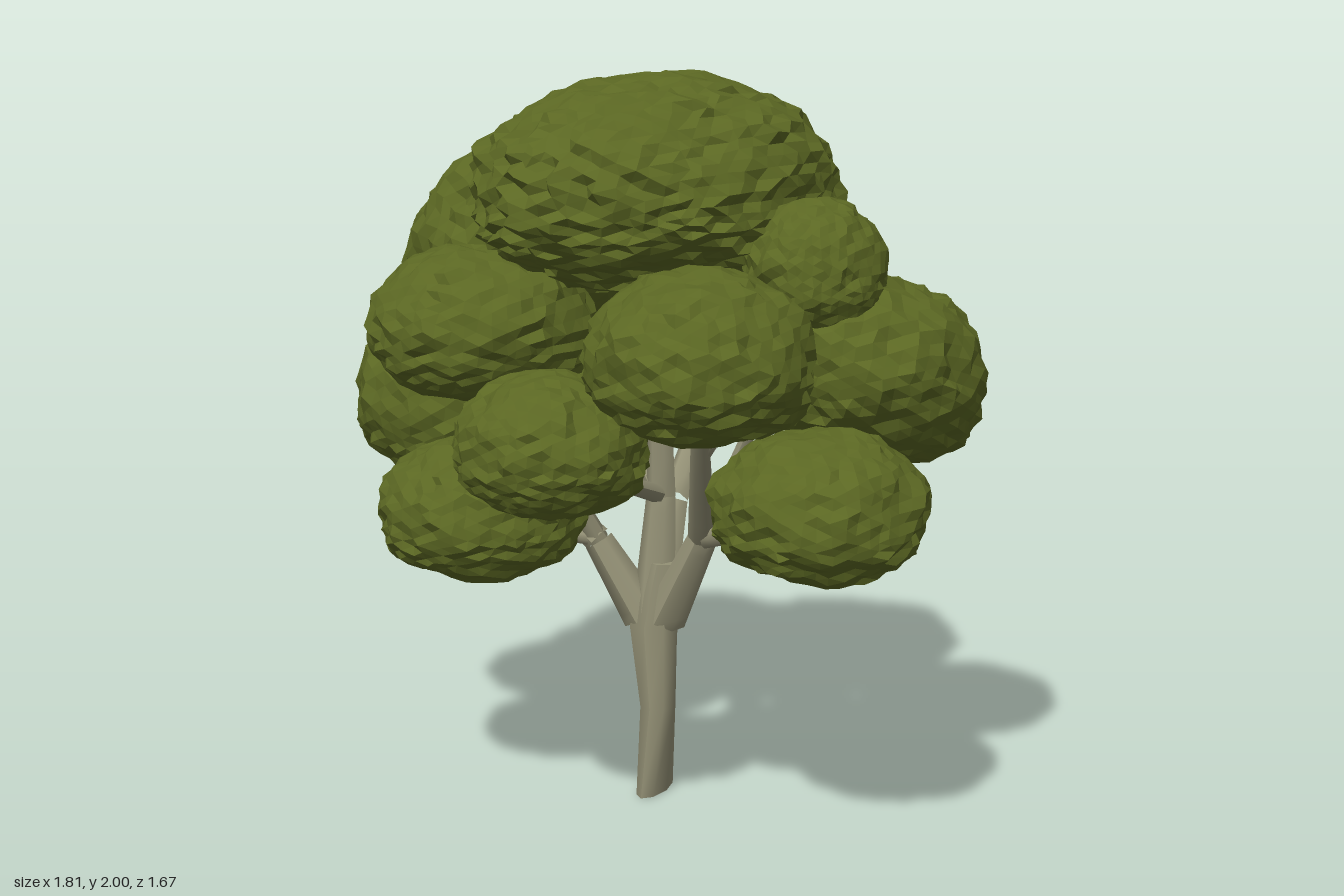
import * as THREE from 'three';
import { mergeVertices } from 'three/addons/utils/BufferGeometryUtils.js';

const leafGreen = new THREE.MeshStandardMaterial({ color: 0x5b6723, flatShading: true });
leafGreen.name = 'leafGreen';
const barkGrey = new THREE.MeshStandardMaterial({ color: 0x949176 });
barkGrey.name = 'barkGrey';

// Small seeded random generator
function seeded(seed) {
  let s = seed * 7919 + 17;
  return () => {
    s = (s * 16807) % 2147483647;
    return s / 2147483647;
  };
}

// Leafy clump: a domed, flat-bottomed sphere roughened by broad bumps and fine jitter
function leafClump(name, centre, [rx, ry, rz = rx], seed) {
  const rand = seeded(seed);
  let geo = new THREE.IcosahedronGeometry(1, rx > 0.4 ? 12 : 8);
  geo.deleteAttribute('normal');
  geo.deleteAttribute('uv');
  geo = mergeVertices(geo, 1e-3);
  const pos = geo.attributes.position;
  const p = new THREE.Vector3();
  for (let i = 0; i < pos.count; i++) {
    p.fromBufferAttribute(pos, i);
    const bumps = Math.sin(p.x * 5 + seed) * Math.sin(p.y * 5 + seed * 2) * Math.sin(p.z * 5 + seed * 3);
    const shoulder = 1 + 0.12 * (1 - Math.abs(p.y)) * Math.abs(p.y);
    const dome = p.y > 0 ? 1.13 : 0.87;
    p.multiplyScalar(shoulder * (0.985 + 0.05 * bumps + (rand() - 0.5) * 0.06));
    p.x += (rand() - 0.5) * 0.05;
    p.z += (rand() - 0.5) * 0.05;
    pos.setXYZ(i, p.x * rx, (p.y * dome - 0.13) * ry, p.z * rz);
  }
  geo = geo.toNonIndexed();
  geo.computeVertexNormals();
  const mesh = new THREE.Mesh(geo, leafGreen);
  mesh.name = name;
  mesh.position.copy(centre);
  return mesh;
}

// Branch: a tube through the points, tapering from girth to tip
function branch(name, points, girth, tip) {
  const rings = 8;
  const sides = 7;
  const curve = new THREE.CatmullRomCurve3(points);
  const geo = new THREE.TubeGeometry(curve, rings, 1, sides, false);
  const pos = geo.attributes.position;
  const v = new THREE.Vector3();
  for (let i = 0; i < pos.count; i++) {
    const t = Math.floor(i / (sides + 1)) / rings;
    const centre = curve.getPointAt(t);
    v.fromBufferAttribute(pos, i).sub(centre);
    v.multiplyScalar(THREE.MathUtils.lerp(girth, tip, t)).add(centre);
    pos.setXYZ(i, v.x, v.y, v.z);
  }
  geo.computeVertexNormals();
  const mesh = new THREE.Mesh(geo, barkGrey);
  mesh.name = name;
  return mesh;
}

// Trunk: narrow from side to side, flared front to back at the foot
function trunk() {
  // y, centre x, centre z, half width, half depth
  const rows = [
    [0, 0.01, 0.015, 0.037, 0.09],
    [0.25, 0.02, 0.015, 0.05, 0.056],
    [0.48, 0.003, 0.008, 0.073, 0.063],
    [0.66, 0.03, -0.02, 0.052, 0.065],
  ];
  const geo = new THREE.CylinderGeometry(1, 1, 1, 8, rows.length - 1);
  const pos = geo.attributes.position;
  for (let i = 0; i < pos.count; i++) {
    const [y, cx, cz, w, d] = rows[Math.round((pos.getY(i) + 0.5) * (rows.length - 1))];
    pos.setXYZ(i, cx + pos.getX(i) * w, y, cz + pos.getZ(i) * d);
  }
  geo.computeVertexNormals();
  const mesh = new THREE.Mesh(geo, barkGrey);
  mesh.name = 'trunk';
  return mesh;
}

export function createModel() {
  const tree = new THREE.Group();
  tree.name = 'tree';
  const wood = new THREE.Group();
  wood.name = 'wood';
  wood.add(trunk());
  const foliage = new THREE.Group();
  foliage.name = 'foliage';
  tree.add(wood, foliage);

  // Four leaders rise from the trunk to the crotches where the boughs part
  const crotches = {
    centre: new THREE.Vector3(0.01, 0.84, -0.03),
    left: new THREE.Vector3(0.16, 0.75, 0.03),
    right: new THREE.Vector3(-0.15, 0.71, 0.04),
    back: new THREE.Vector3(0, 0.8, -0.13),
  };
  for (const [name, crotch] of Object.entries(crotches)) {
    const root = new THREE.Vector3(crotch.x * 0.2, 0.5, 0);
    const middle = root.clone().lerp(crotch, 0.5);
    wood.add(branch(name + 'Leader', [root, middle, crotch], 0.062, 0.042));
  }

  // Each limb: name, clump centre, clump radii, crotch it grows from, girth
  const limbs = [
    ['crown', [0.01, 1.71, 0.01], [0.44, 0.285, 0.535], 'centre', 0.042],
    ['rightTop', [-0.47, 1.5, -0.18], [0.36, 0.285, 0.34], 'centre', 0.035],
    ['leftTop', [0.5, 1.52, 0.09], [0.185, 0.18, 0.19], 'left', 0.025],
    ['leftFront', [0.35, 1.345, 0.48], [0.29, 0.22], 'left', 0.04],
    ['left', [0.6, 1.23, -0.08], [0.295, 0.25, 0.33], 'left', 0.03],
    ['leftLow', [0.6, 0.95, 0.29], [0.28, 0.195], 'left', 0.035],
    ['front', [-0.01, 1.11, 0.59], [0.25, 0.185, 0.235], 'centre', 0.028],
    ['rightFront', [-0.36, 1.35, 0.31], [0.3, 0.21], 'right', 0.03],
    ['rightLow', [-0.39, 0.835, 0.27], [0.28, 0.195], 'right', 0.02],
    ['right', [-0.61, 1.085, 0.02], [0.285, 0.26, 0.25], 'right', 0.04],
    ['rightBack', [-0.56, 0.97, -0.35], [0.295, 0.2], 'back', 0.035],
    ['back', [-0.05, 1.16, -0.55], [0.3, 0.245, 0.28], 'back', 0.042],
  ];
  const turns = { crown: [0, -0.35, 0], rightTop: [0, 0, 0.3], left: [-0.4, 0, 0] };

  limbs.forEach(([name, at, radii, crotch, girth], i) => {
    const centre = new THREE.Vector3(...at);
    const clump = leafClump(name + 'Clump', centre, radii, i + 1);
    if (turns[name]) clump.rotation.set(...turns[name]);
    foliage.add(clump);

    // Bough from the crotch to the clump, bent at an elbow
    const fork = crotches[crotch];
    const elbow = fork.clone().lerp(centre, 0.5);
    elbow.y -= 0.02;
    wood.add(branch(name + 'Bough', [fork, elbow, centre], girth, girth * 0.35));

    // Twig leaving the elbow to one side, alternating along the tree
    const sideways = new THREE.Vector3(at[2], 0.02, -at[0]).setLength(i % 2 ? 0.13 : -0.13);
    const tip = centre.clone().add(sideways);
    const bend = elbow.clone().lerp(tip, 0.5).addScaledVector(sideways, 0.2);
    wood.add(branch(name + 'Twig', [elbow, bend, tip], girth * 0.5, girth * 0.2));
  });
  return tree;
}
